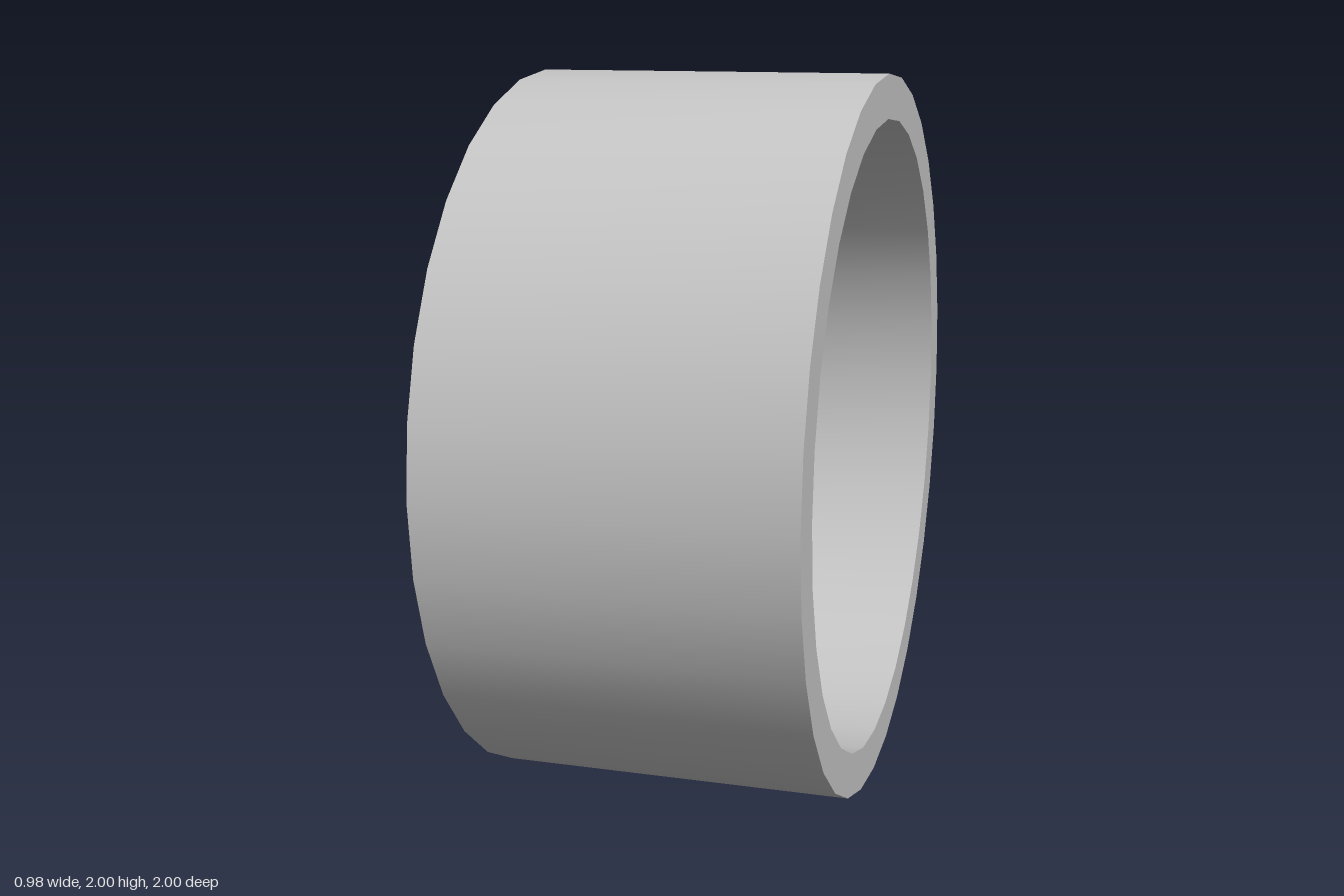
import * as THREE from 'three';
import { toCreasedNormals } from 'three/addons/utils/BufferGeometryUtils.js';

const metal = new THREE.MeshStandardMaterial({ color: 0xc4c4c4 });
metal.name = 'light grey metal';

// Revolves [radius, x] points around the wheel axle (x axis).
function turned(name, points, segments) {
  const profile = points.map(([r, x]) => new THREE.Vector2(r, x));
  const geo = new THREE.LatheGeometry(profile, segments, Math.PI / 2);
  geo.rotateZ(-Math.PI / 2);
  geo.deleteAttribute('uv');
  const mesh = new THREE.Mesh(toCreasedNormals(geo, 0.55), metal);
  mesh.name = name;
  return mesh;
}

// Bowed spoke pointing up: chamfered cross-sections swept along the radius.
function spokeGeometry() {
  const path = new THREE.CatmullRomCurve3([
    [0.2, -0.335, 0.055], [0.32, -0.375, 0.045], [0.5, -0.405, 0.04],
    [0.7, -0.392, 0.037], [0.91, -0.35, 0.041],
  ].map(([r, x, w]) => new THREE.Vector3(r, x, w)));
  const depth = 0.095;
  // [fraction of half width, fraction of depth]
  const section = [[-0.55, 0], [0.55, 0], [0.88, 0.1], [1, 0.3], [1, 1], [-1, 1], [-1, 0.3], [-0.88, 0.1]];
  const n = section.length, steps = 14, pos = [], index = [];
  for (let i = 0; i <= steps; i++) {
    const p = path.getPoint(i / steps);
    for (const [w, d] of section) pos.push(p.y + d * depth, p.x, w * p.z);
  }
  for (let i = 0; i < steps; i++) {
    for (let j = 0; j < n; j++) {
      const a = i * n + j, b = i * n + (j + 1) % n;
      index.push(a, b, b + n, a, b + n, a + n);
    }
  }
  const last = steps * n;
  for (let j = 1; j < n - 1; j++) {
    index.push(0, j + 1, j);
    index.push(last, last + j, last + j + 1);
  }
  const geo = new THREE.BufferGeometry();
  geo.setAttribute('position', new THREE.Float32BufferAttribute(pos, 3));
  geo.setIndex(index);
  return toCreasedNormals(geo, 0.75);
}

export function createModel() {
  const model = new THREE.Group();
  model.name = 'wheel';
  const wheel = new THREE.Group();
  wheel.name = 'wheelAssembly';
  wheel.position.y = 1;
  model.add(wheel);

  // Rim barrel with a bevelled outer lip and an inner step
  wheel.add(turned('rim', [
    [1, -0.49], [1, 0.49], [0.88, 0.49], [0.88, -0.3], [0.915, -0.3],
    [0.925, -0.45], [0.965, -0.49], [1, -0.49],
  ], 32));

  // Brake disc and its drum
  wheel.add(turned('brakeDisc', [[0, 0.05], [0.72, 0.05], [0.72, 0.11], [0, 0.11]], 26));
  wheel.add(turned('brakeDrum', [[0, -0.14], [0.37, -0.14], [0.37, 0.06], [0, 0.06]], 26));

  // Dished hub and domed cap
  wheel.add(turned('hub', [
    [0, -0.3], [0.19, -0.3], [0.215, -0.325], [0.235, -0.355], [0.255, -0.362],
    [0.275, -0.35], [0.285, -0.31], [0.27, -0.22], [0.25, -0.13], [0, -0.13],
  ], 40));
  wheel.add(turned('hubCap', [
    [0, -0.362], [0.06, -0.358], [0.095, -0.348], [0.115, -0.33], [0.12, -0.29], [0, -0.29],
  ], 32));

  // Ten spokes
  const spokeGeo = spokeGeometry();
  for (let i = 0; i < 10; i++) {
    const spoke = new THREE.Mesh(spokeGeo, metal);
    spoke.name = 'spoke';
    spoke.rotation.x = (i * Math.PI) / 5;
    wheel.add(spoke);
  }

  // Five rounded wheel bolts
  const boltGeo = new THREE.SphereGeometry(0.027, 14, 10);
  for (let i = 0; i < 5; i++) {
    const a = (i * 2 * Math.PI) / 5;
    const bolt = new THREE.Mesh(boltGeo, metal);
    bolt.name = 'wheelBolt';
    bolt.scale.x = 1.5;
    bolt.position.set(-0.305, 0.165 * Math.cos(a), 0.165 * Math.sin(a));
    wheel.add(bolt);
  }
  return model;
}
